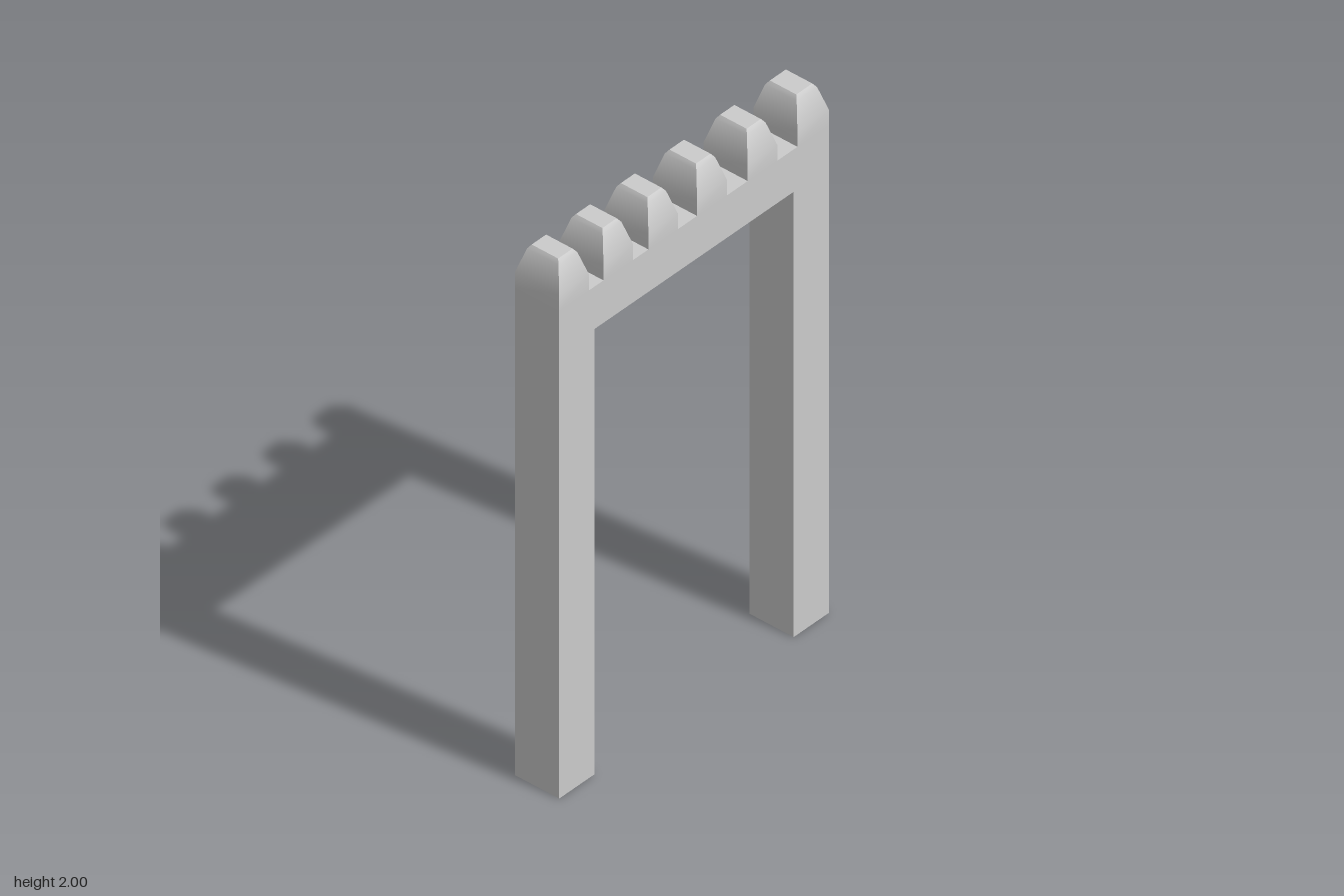
import * as THREE from 'three';
import { toCreasedNormals } from 'three/addons/utils/BufferGeometryUtils.js';

const material = new THREE.MeshStandardMaterial({ color: 0xcccccc });
const HALF_X = 0.088, HALF_Z = 0.615, INNER_Z = 0.455;
const BEAM_BOTTOM = 1.68, BEAM_TOP = 1.84;

// Two legs joined by a crossbeam, cut as one profile in the z-y plane
function makeFrame() {
  const shape = new THREE.Shape([
    [-HALF_Z, 0], [-INNER_Z, 0], [-INNER_Z, BEAM_BOTTOM], [INNER_Z, BEAM_BOTTOM],
    [INNER_Z, 0], [HALF_Z, 0], [HALF_Z, BEAM_TOP], [-HALF_Z, BEAM_TOP],
  ].map(([z, y]) => new THREE.Vector2(z, y)));
  const geometry = new THREE.ExtrudeGeometry(shape, { depth: HALF_X * 2, bevelEnabled: false });
  geometry.rotateY(-Math.PI / 2).translate(HALF_X, 0, 0);
  const mesh = new THREE.Mesh(geometry, material);
  mesh.name = 'legsAndBeam';
  return mesh;
}

// Block with upright foot, tapered shoulders and a small bevel round the flat top
function makeTooth(zMin, zMax) {
  const levels = [ // height, inset
    [BEAM_TOP, 0], [1.9, 0], [1.986, 0.025], [2, 0.035],
  ];
  const halfZ = (zMax - zMin) / 2;
  const box = new THREE.BoxGeometry(2, 3, 2, 1, 3, 1);
  const p = box.attributes.position;
  for (let i = 0; i < p.count; i++) {
    const [y, inset] = levels[Math.round(p.getY(i) + 1.5)];
    p.setXYZ(i, p.getX(i) * (HALF_X - inset), y, p.getZ(i) * (halfZ - inset));
  }
  const mesh = new THREE.Mesh(toCreasedNormals(box, Math.PI / 6), material);
  mesh.position.z = (zMin + zMax) / 2;
  mesh.name = 'tooth';
  return mesh;
}

export function createModel() {
  const model = new THREE.Group();
  model.name = 'toothedFrame';
  model.add(makeFrame());

  // Row of teeth along the beam, slightly unevenly spaced
  const teeth = new THREE.Group();
  teeth.name = 'teeth';
  const spans = [
    [-HALF_Z, -0.472], [-0.38, -0.245], [-0.15, -0.014],
    [0.074, 0.208], [0.278, 0.413], [0.479, HALF_Z],
  ];
  for (const [a, b] of spans) teeth.add(makeTooth(a, b));
  model.add(teeth);
  return model;
}
